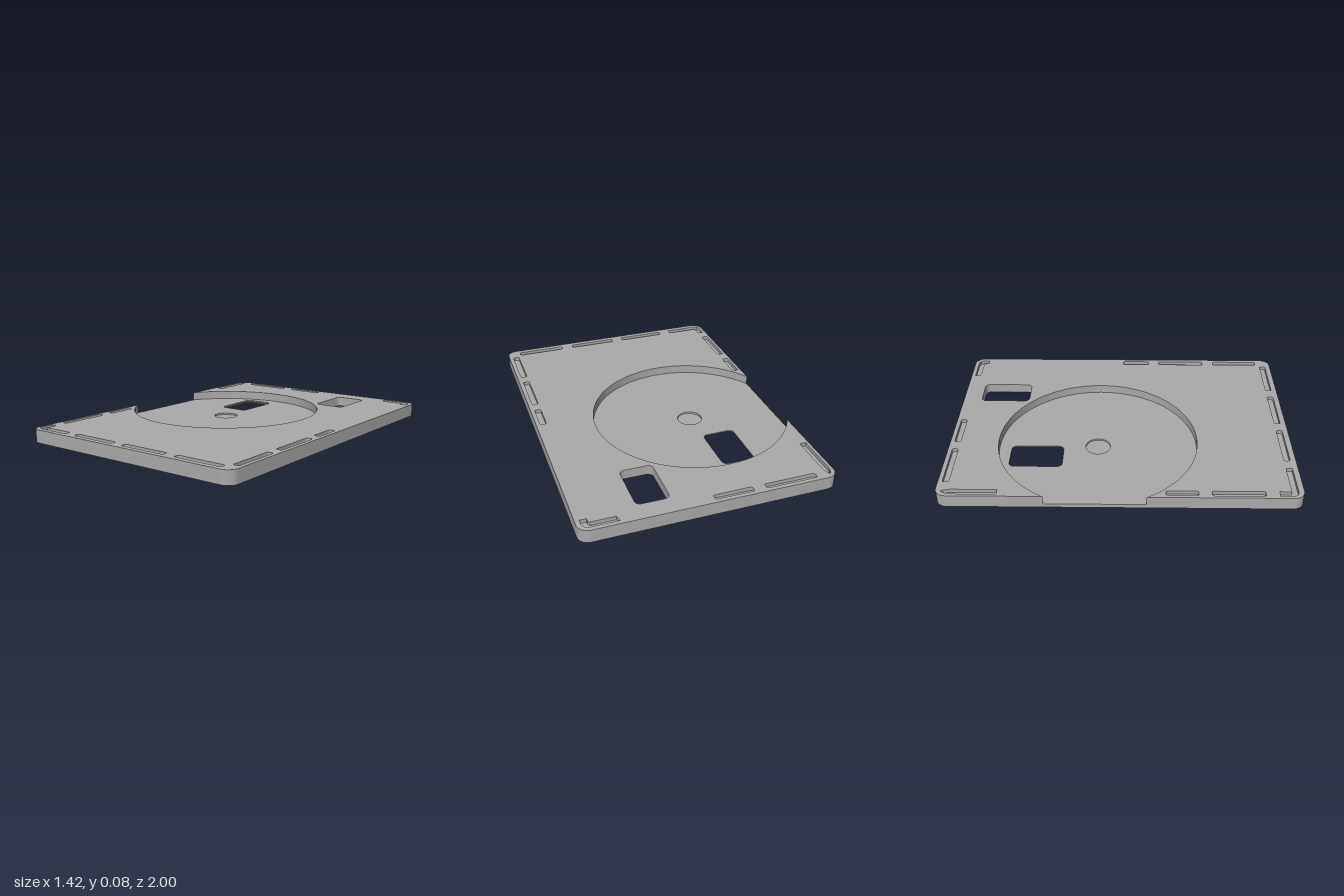
import * as THREE from 'three';
import { toCreasedNormals } from 'three/addons/utils/BufferGeometryUtils.js';

const HX = 0.712, HZ = 1, TOP = 0.076, FLOOR = 0.024, FLARE = 0.018;
const SLOT_FLOOR = TOP - 0.022, DIMPLE_FLOOR = FLOOR - 0.01;
const DISC = { x: -0.2, z: -0.133, r: 0.583 };

// Loops are counter-clockwise points in the plan (x, -z).
function arc(x, z, r, from, to, n) {
  return Array.from({ length: n + 1 }, (_, i) => {
    const a = from + (to - from) * i / n;
    return new THREE.Vector2(x + r * Math.cos(a), -z + r * Math.sin(a));
  });
}

function roundCorners(x0, z0, x1, z1, r, n = 6) {
  const q = Math.PI / 2;
  return [
    arc(x1 - r, z1 - r, r, -q, 0, n),
    arc(x1 - r, z0 + r, r, 0, q, n),
    arc(x0 + r, z0 + r, r, q, 2 * q, n),
    arc(x0 + r, z1 - r, r, 2 * q, 3 * q, n),
  ];
}
const roundRect = (...args) => roundCorners(...args).flat();

function polygon(points) {
  const loop = points.map(([x, z]) => new THREE.Vector2(x, -z));
  return THREE.ShapeUtils.isClockWise(loop) ? loop.reverse() : loop;
}

// Flat face at height y, facing up or down.
function cap(loop, holes, y, down = false) {
  const shape = new THREE.Shape(loop);
  shape.holes = holes.map((h) => new THREE.Path(h));
  const g = new THREE.ShapeGeometry(shape).rotateX(-Math.PI / 2).translate(0, y, 0);
  if (down) {
    g.index.array.reverse();
    g.computeVertexNormals();
  }
  return g;
}

// Band joining two matching loops; inward bands face the loop's middle.
function wall(lower, y0, upper, y1, inward = false) {
  const pos = [];
  lower.forEach((a, i) => {
    const j = (i + 1) % lower.length;
    if (a.distanceTo(lower[j]) < 1e-6) return;
    const A = [a.x, y0, -a.y], B = [lower[j].x, y0, -lower[j].y];
    const C = [upper[j].x, y1, -upper[j].y], D = [upper[i].x, y1, -upper[i].y];
    pos.push(...(inward ? [A, C, B, A, D, C] : [A, B, C, A, C, D]).flat());
  });
  const g = new THREE.BufferGeometry();
  g.setAttribute('position', new THREE.Float32BufferAttribute(pos, 3));
  return toCreasedNormals(g, 0.6);
}

export function createModel() {
  const model = new THREE.Group();
  model.name = 'recessedPlate';
  const grey = new THREE.MeshStandardMaterial({ color: 0xaaaaaa });
  grey.name = 'plain grey';
  const add = (name, geometry) => {
    const mesh = new THREE.Mesh(geometry, grey);
    mesh.name = name;
    model.add(mesh);
  };

  // Plate outline, and the same outline with the disc bitten out of its left edge
  const corners = roundCorners(-HX, -HZ, HX, HZ, 0.06, 10);
  const outline = corners.flat();
  const open = Math.PI - Math.acos((HX + DISC.x) / DISC.r);
  const disc = arc(DISC.x, DISC.z, DISC.r, -open, open, 96);
  const rim = [...corners[0], ...corners[1], ...corners[2], ...[...disc].reverse(), ...corners[3]];

  // Two through windows, flared toward the underside
  const windows = [
    { box: [-0.392, -0.643, -0.202, -0.335], top: FLOOR },
    { box: [0.2, -0.887, 0.387, -0.585], top: TOP },
  ].map(({ box: [x0, z0, x1, z1], top }) => ({
    top,
    inner: roundRect(x0, z0, x1, z1, 0.03),
    outer: roundRect(x0 - 0.022, z0 - 0.022, x1 + 0.022, z1 + 0.022, 0.04),
  }));

  // Shallow slots round the border
  const slots = [];
  const slot = (x0, z0, x1, z1) => slots.push(roundRect(x0, z0, x1, z1, 0.01, 3));
  for (const [a, b] of [[-0.595, -0.3], [-0.23, -0.01]]) slot(a, -0.976, b, -0.94);
  for (const [a, b] of [[-0.39, -0.1], [-0.03, 0.263], [0.335, 0.63]]) slot(a, 0.932, b, 0.968);
  for (const [a, b] of [[0.25, 0.427], [0.5, 0.79]]) slot(-0.695, a, -0.658, b);
  for (const [a, b] of [[0.01, 0.18], [0.25, 0.545], [0.617, 0.905]]) slot(0.65, a, 0.687, b);
  slots.push(
    polygon([[-0.695, -0.665], [-0.695, -0.92], [-0.685, -0.955], [-0.672, -0.972],
      [-0.664, -0.95], [-0.658, -0.92], [-0.658, -0.665]]),
    polygon([[0.495, -0.976], [0.65, -0.976], [0.676, -0.966], [0.687, -0.94],
      [0.687, -0.91], [0.65, -0.91], [0.65, -0.93], [0.64, -0.94], [0.505, -0.94]]),
    polygon([[-0.695, 0.865], [-0.658, 0.865], [-0.658, 0.932], [-0.46, 0.932],
      [-0.46, 0.968], [-0.66, 0.968], [-0.685, 0.96], [-0.695, 0.935]]),
  );

  // Outer faces
  add('topFace', cap(rim, [windows[1].inner, ...slots], TOP));
  add('underside', cap(outline, windows.map((w) => w.outer), 0, true));
  add('lowerEdge', wall(outline, 0, outline, FLOOR));
  add('upperEdgeAndRecessWall', wall(rim, FLOOR, rim, TOP));

  // Disc recess with a small central dimple
  const dimple = arc(DISC.x, DISC.z, 0.073, 0, Math.PI * 2, 40).slice(0, -1);
  add('recessFloor', cap(disc, [windows[0].inner, dimple], FLOOR));
  add('dimpleWall', wall(dimple, DIMPLE_FLOOR, dimple, FLOOR, true));
  add('dimpleFloor', cap(dimple, [], DIMPLE_FLOOR));

  for (const w of windows) {
    add('windowWall', wall(w.inner, FLARE, w.inner, w.top, true));
    add('windowFlare', wall(w.outer, 0, w.inner, FLARE, true));
  }
  for (const s of slots) {
    add('slotWall', wall(s, SLOT_FLOOR, s, TOP, true));
    add('slotFloor', cap(s, [], SLOT_FLOOR));
  }
  return model;
}
